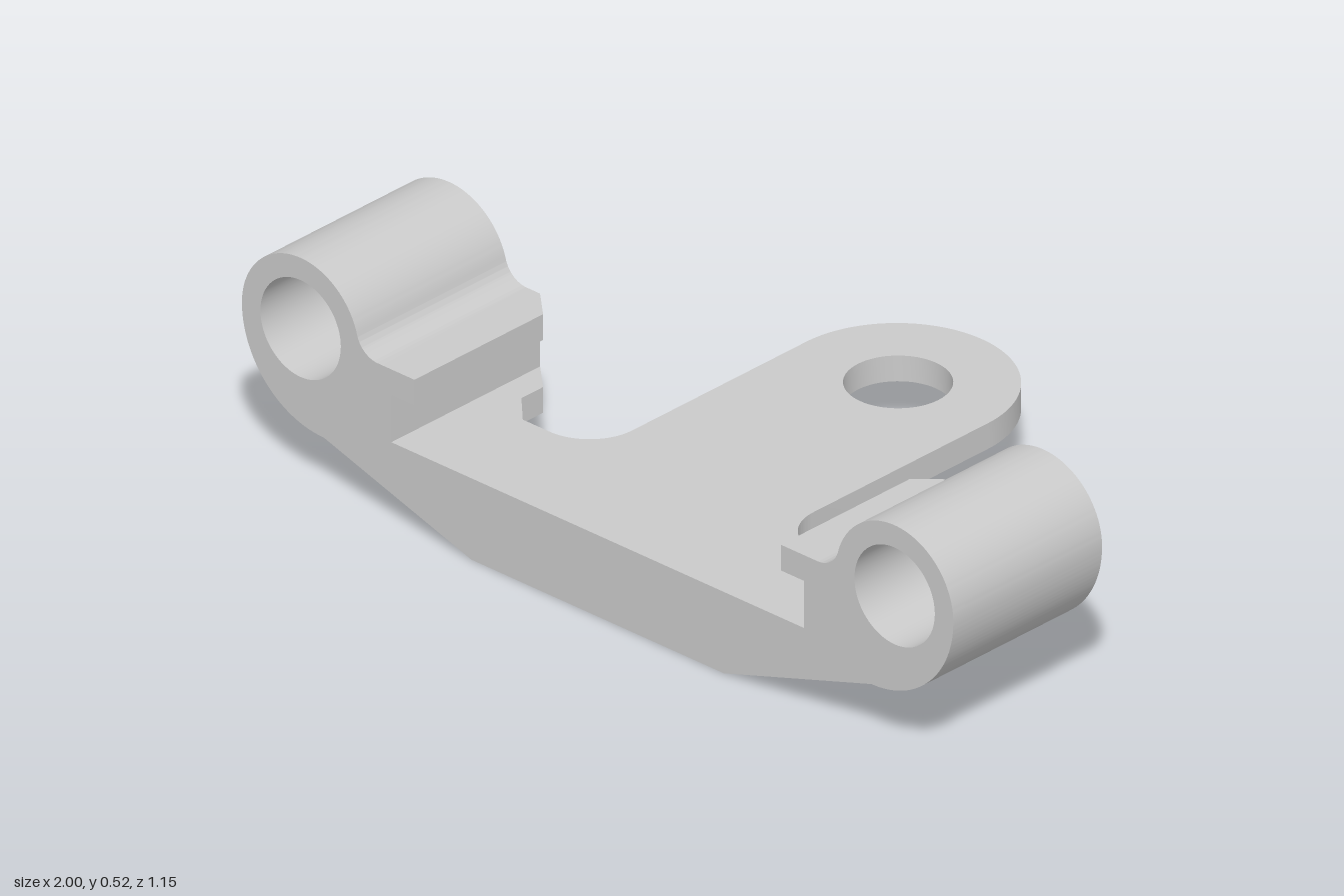
import * as THREE from 'three';
import { toCreasedNormals } from 'three/addons/utils/BufferGeometryUtils.js';

const FRONT = 0.575, BACK = 0.13;       // z range of the end clamps
const UNDER = 0.13, DECK = 0.19;        // underside and top of the plate
const HALF = 0.255;                     // half width of the tongue
const WEB = 0.095;                      // thickness of wall and ribs
const BORE = 0.113;                     // radius of all holes

export function createModel() {
  const model = new THREE.Group();
  model.name = 'mountingBracket';
  const grey = new THREE.MeshStandardMaterial({ color: 0xcacaca });
  grey.name = 'plain grey';

  const polygon = (pts) => new THREE.Shape(pts.map(([x, y]) => new THREE.Vector2(x, y)));
  const extrude = (shape, depth) =>
    new THREE.ExtrudeGeometry(shape, { depth, bevelEnabled: false, curveSegments: 32 });
  const add = (name, geometry) => {
    const mesh = new THREE.Mesh(toCreasedNormals(geometry, 0.5), grey);
    mesh.name = name;
    model.add(mesh);
  };
  // Shapes drawn as (x, -z) and raised from y0 to y1
  const slab = (shape, y0, y1) =>
    extrude(shape, y1 - y0).rotateX(-Math.PI / 2).translate(0, y0, 0);
  // A hole must wind against its outline
  const hole = (x, y, clockwise) =>
    new THREE.Path().absarc(x, y, BORE, 0, Math.PI * 2, clockwise);

  // Plate with rounded tongue, filleted shoulders and notched corners
  const plate = new THREE.Shape();
  plate.moveTo(-0.58, -FRONT);
  plate.lineTo(0.58, -FRONT);
  plate.lineTo(0.58, -BACK);
  plate.lineTo(0.515, -0.19);
  plate.lineTo(0.515, -0.255);
  plate.lineTo(0.45, -0.32);
  plate.lineTo(HALF + 0.12, -0.32);
  plate.absarc(HALF + 0.12, -0.2, 0.12, -Math.PI / 2, -Math.PI, true);
  plate.lineTo(HALF, 0.32);
  plate.absarc(0, 0.32, HALF, 0, Math.PI, false);
  plate.lineTo(-HALF, -0.2);
  plate.absarc(-HALF - 0.12, -0.2, 0.12, 0, -Math.PI / 2, true);
  plate.lineTo(-0.45, -0.32);
  plate.lineTo(-0.515, -0.255);
  plate.lineTo(-0.515, -0.19);
  plate.lineTo(-0.58, -BACK);
  plate.holes.push(hole(0, 0.324, true));
  add('plate', slab(plate, UNDER, DECK));

  // Tapered front wall under the plate
  const wall = polygon([[-0.77, UNDER], [-0.355, 0], [0.355, 0], [0.77, UNDER]]);
  add('frontWall', extrude(wall, WEB).translate(0, 0, FRONT - WEB));

  // Clamp profile: block, large lower curve, tube and fillet
  const clamp = new THREE.Shape();
  const r = 0.06, R = 0.165, cx = 0.835, cy = 0.36;
  const dx = Math.sqrt((R + r) ** 2 - r ** 2), a = Math.atan2(r, dx);
  clamp.moveTo(0.58, UNDER);
  clamp.lineTo(0.77, UNDER);
  clamp.absarc(0.77, cy, 0.23, -Math.PI / 2, 0, false);
  clamp.absarc(cx, cy, R, 0, Math.PI - a, false);
  clamp.absarc(cx - dx, cy + r, r, -a, -Math.PI / 2, true);
  clamp.lineTo(0.58, cy);
  const clampPoints = clamp.getPoints(32);

  for (const [side, s] of [['left', 1], ['right', -1]]) {
    const block = polygon(clampPoints.map((p) => [p.x * s, p.y]));
    block.holes.push(hole(cx * s, cy, s > 0));
    add(side + 'Clamp', extrude(block, FRONT - BACK).translate(0, 0, BACK));

    // Overhanging lip with a chamfered rear corner
    const lip = polygon([[0.58, -FRONT], [0.58, -BACK], [0.515, -0.19], [0.515, -FRONT]]
      .map(([x, y]) => [x * s, y]));
    add(side + 'Lip', slab(lip, 0.3, cy));

    // Ramped rib below the edge of the tongue, drawn as (z, y)
    const rib = polygon([[FRONT - WEB, 0], [FRONT - WEB, UNDER], [-0.11, UNDER], [0.305, 0]]);
    add(side + 'Rib', extrude(rib, WEB).translate(0, 0, -WEB / 2)
      .rotateY(-Math.PI / 2).translate((HALF - WEB / 2) * s, 0, 0));
  }
  return model;
}
